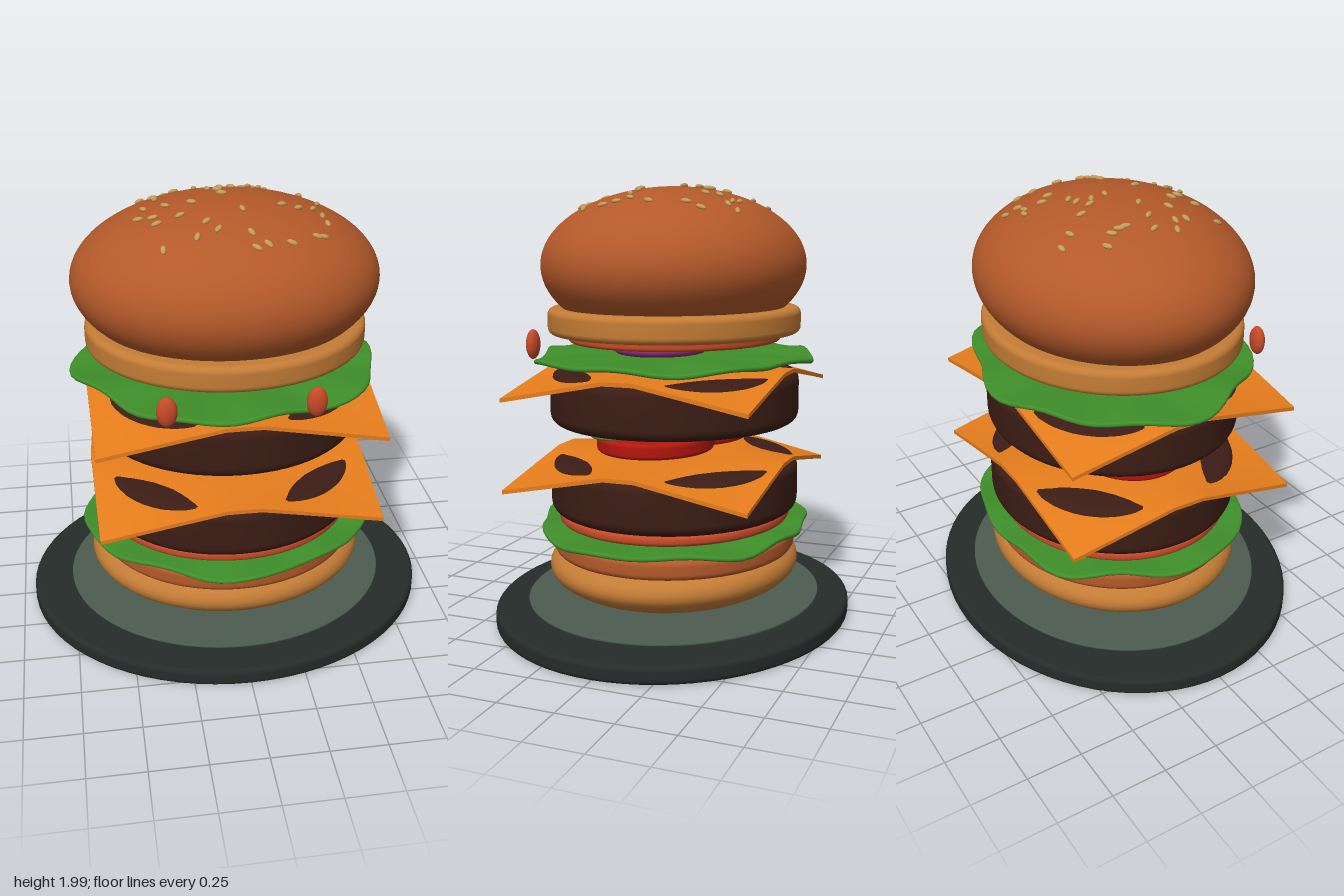
import * as THREE from 'three';
import { mergeVertices } from 'three/addons/utils/BufferGeometryUtils.js';

const V2 = (x, y) => new THREE.Vector2(x, y);
const COLORS = {
  plate: 0x262c2a, inset: 0x4c5c50, crust: 0xb4592a, bread: 0xc47c36, patty: 0x3c1d15,
  cheese: 0xe67d1c, lettuce: 0x3f8f2a, sauce: 0xc84a28, tomato: 0xb5160f,
  pickle: 0x5f8a2e, onion: 0x8e2f78, seed: 0xc49a55,
};
const materials = {};
for (const key in COLORS) materials[key] = new THREE.MeshStandardMaterial({ color: COLORS[key] });

// Unit-radius-scaled lathe stretched to an ellipse
function lathe(points, rx, rz) {
  const g = new THREE.LatheGeometry(points, 72);
  g.scale(1, 1, rz / rx);
  return g;
}

// Elliptical disc with a rounded rim, from y0 to y1
function disc(rx, rz, y0, y1, bevel, rings = 1) {
  const pts = [];
  const inner = rx - bevel;
  for (let i = 0; i < rings; i++) pts.push(V2((inner * i) / rings, y0));
  pts.push(V2(inner - 0.002, y0));
  for (let i = 0; i <= 5; i++) {
    const a = (i / 5) * Math.PI / 2;
    pts.push(V2(inner + bevel * Math.sin(a), y0 + bevel * (1 - Math.cos(a))));
  }
  for (let i = 0; i <= 5; i++) {
    const a = (i / 5) * Math.PI / 2;
    pts.push(V2(inner + bevel * Math.cos(a), y1 - bevel * (1 - Math.sin(a))));
  }
  pts.push(V2(inner - 0.002, y1));
  for (let i = rings - 1; i >= 0; i--) pts.push(V2((inner * i) / rings, y1));
  return lathe(pts, rx, rz);
}

// Move every vertex by a rule and refresh the normals
function deform(g, rule) {
  const p = g.attributes.position;
  const v = new THREE.Vector3();
  for (let i = 0; i < p.count; i++) {
    rule(v.fromBufferAttribute(p, i));
    p.setXYZ(i, v.x, v.y, v.z);
  }
  g.computeVertexNormals();
  return g;
}

// Thin leaf whose rim ripples up, down, in and out
function lettuceGeometry(phase) {
  let g = disc(0.68, 0.615, -0.011, 0.011, 0.01, 6);
  g.deleteAttribute('uv');
  g.deleteAttribute('normal');
  g = mergeVertices(g, 1e-5);
  return deform(g, (v) => {
    const a = Math.atan2(v.z, v.x) + phase;
    const r = Math.min(1, Math.hypot(v.x / 0.68, v.z / 0.615));
    const k = Math.max(0, (r - 0.5) * 2);
    const s = 1 + k * (0.028 * Math.sin(5 * a) + 0.02 * Math.sin(8 * a + 1));
    v.x *= s;
    v.z *= s;
    v.y += k * (0.009 * Math.sin(9 * a) + 0.006 * Math.sin(5 * a + 2));
  });
}

// Square slice with drooping corners
function cheeseGeometry() {
  return deform(new THREE.BoxGeometry(1.27, 0.018, 1.12, 16, 1, 16), (v) => {
    const u = v.x / 0.635;
    const w = v.z / 0.56;
    const fold = Math.abs(u * w);
    v.y -= 0.1 * Math.max(0, (fold - 0.12) / 0.88);
    v.x *= 1 - 0.03 * fold + 0.012 * w;
    v.z += 0.01;
  });
}

// Height of the crown surface, an ellipsoid
const CROWN = { rx: 0.68, ry: 0.35, rz: 0.59, y: 1.63 };
const SEEDS = [
  -23, -37, -19, -31, -35, -23, -30, -18, -29, -14, -29, -11, -11, -21, -6, -14, 0, -17, 5, -18,
  -2, -11, -1, -4, 13, -35, 17, -33, 25, -38, 23, -33, 14, -26, 18, -21, 37, -26, 36, -19,
  -35, -1, -26, 2, -15, 4, -38, 8, -32, 11, -31, 17, -21, 15, -11, 23, -7, 29, -16, 32,
  -30, 34, 5, 15, 6, 32, 12, 38, 7, 40, 22, 36, 34, 29, 37, 28, 23, 8, 30, 9,
  37, 6, 41, -4, 40, 11, 41, 17,
];

export function createModel() {
  const model = new THREE.Group();
  const add = (name, geometry, material, x = 0, y = 0, z = 0) => {
    const m = new THREE.Mesh(geometry, materials[material]);
    m.name = name;
    m.position.set(x, y, z);
    model.add(m);
    return m;
  };

  // Plate
  add('plate', disc(0.945, 0.81, 0, 0.08, 0.022), 'plate');
  add('plateInset', disc(0.76, 0.67, 0.095, 0.107, 0.004), 'inset');

  // Bottom bun
  const heel = [];
  for (let i = 0; i <= 16; i++) {
    const a = (i / 16) * Math.PI / 2;
    heel.push(V2(0.65 * Math.sin(a), 0.26 - 0.18 * Math.cos(a)));
  }
  for (let i = 1; i <= 6; i++) {
    const a = (i / 6) * Math.PI / 2;
    heel.push(V2(0.57 + 0.08 * Math.cos(a), 0.26 + 0.07 * Math.sin(a)));
  }
  heel.push(V2(0, 0.33));
  add('bottomBun', lathe(heel, 0.65, 0.57), 'bread');
  add('bottomBunCut', disc(0.61, 0.555, 0.32, 0.415, 0.03), 'crust');

  // Lower and upper layers that repeat
  add('lowerLettuce', lettuceGeometry(0), 'lettuce', 0.005, 0.437, 0);
  add('upperLettuce', lettuceGeometry(0.9), 'lettuce', 0.005, 1.218, 0);
  add('lowerSauce', disc(0.585, 0.53, 0.465, 0.515, 0.02), 'sauce');
  ['lower', 'upper'].forEach((level, i) => {
    const lift = i * 0.407;
    add(level + 'Patty', disc(0.613, 0.567, 0.51, 0.747, 0.05), 'patty', 0, lift, 0);
    add(level + 'Cheese', cheeseGeometry(), 'cheese', 0, 0.754 + lift, 0);
  });

  // Tomato slices, pickles and onion rings
  for (const s of [-1, 1]) {
    add('tomatoSlice', disc(0.3, 0.26, 0.81, 0.88, 0.018), 'tomato', s * 0.173, 0, s * 0.025);
    const ring = new THREE.TorusGeometry(0.2, 0.03, 12, 48);
    ring.rotateX(Math.PI / 2);
    ring.scale(1, 0.75, 0.88);
    add('onionRing', ring, 'onion', s * 0.217 - 0.017, 1.272, -s * 0.01);
  }
  for (const [x, z] of [[-0.26, 0.04], [0.085, -0.153], [0.275, 0.153]]) {
    add('pickle', disc(0.155, 0.135, 0.875, 0.925, 0.012), 'pickle', x, 0, z);
  }

  // Top sauce with drips
  add('upperSauce', disc(0.53, 0.48, 1.288, 1.332, 0.015), 'sauce');
  for (const x of [-0.325, 0.298]) {
    const drip = new THREE.SphereGeometry(1, 24, 16);
    drip.scale(0.044, 0.068, 0.029);
    add('sauceDrip', drip, 'sauce', x, 1.272, 0.578);
  }

  // Top bun
  add('topBunCut', disc(0.628, 0.57, 1.325, 1.442, 0.03), 'bread');
  const crown = [V2(0, 1.43)];
  const start = -Math.asin(0.2 / CROWN.ry);
  for (let i = 0; i <= 30; i++) {
    const a = start + (i / 30) * (Math.PI / 2 - start);
    crown.push(V2(CROWN.rx * Math.cos(a), CROWN.y + CROWN.ry * Math.sin(a)));
  }
  add('topBun', lathe(crown, CROWN.rx, CROWN.rz), 'crust');

  // Sesame seeds lying on the crown
  const seed = new THREE.SphereGeometry(1, 12, 8);
  seed.scale(0.024, 0.01, 0.012);
  const up = new THREE.Vector3(0, 1, 0);
  for (let i = 0; i < SEEDS.length; i += 2) {
    const x = SEEDS[i] / 100;
    const z = SEEDS[i + 1] / 100;
    const h = Math.sqrt(1 - (x / CROWN.rx) ** 2 - (z / CROWN.rz) ** 2);
    const n = new THREE.Vector3(x / CROWN.rx ** 2, h / CROWN.ry, z / CROWN.rz ** 2).normalize();
    const m = add('sesameSeed', seed, 'seed', x, CROWN.y + CROWN.ry * h + 0.005, z);
    m.quaternion.setFromUnitVectors(up, n);
    m.rotateY(i * 1.7);
  }
  return model;
}
